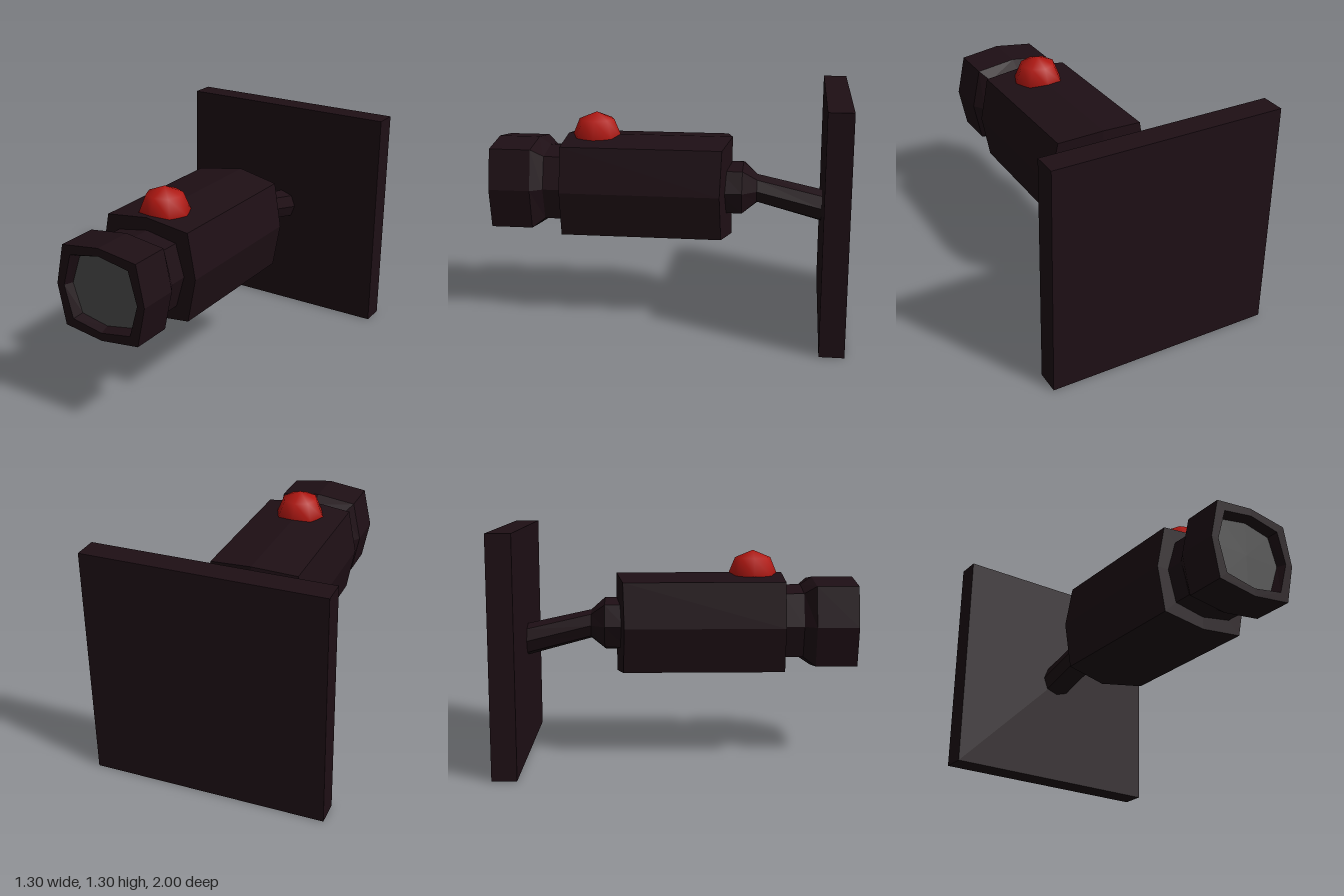
import * as THREE from 'three';

const dark = new THREE.MeshStandardMaterial({ color: 0x1e0f15, flatShading: true });
const glass = new THREE.MeshStandardMaterial({ color: 0x505050, flatShading: true });
const red = new THREE.MeshStandardMaterial({ color: 0xb01711 });

// Eight-sided ring, bulged towards a square: dx, dy place its diagonal corners.
function ring({ z, y = 0.752, rx, ry, dx, dy, slant = 0 }) {
  const corners = [[rx, 0], [dx, dy], [0, ry], [-dx, dy], [-rx, 0], [-dx, -dy], [0, -ry], [dx, -dy]];
  return corners.map(([cx, cy]) => [cx, y + cy, z + slant * Math.abs(cx)]);
}

// Skins a list of rings running from front to back, with optional end caps.
function loft(name, stations, material, capFront = true, capBack = true) {
  const rings = stations.map(ring);
  const points = [];
  const add = (...p) => p.forEach((q) => points.push(...q));
  for (let i = 0; i < rings.length - 1; i++) {
    for (let j = 0; j < 8; j++) {
      const k = (j + 1) % 8;
      const a = rings[i][j], b = rings[i][k], c = rings[i + 1][j], d = rings[i + 1][k];
      add(a, c, b, b, c, d);
    }
  }
  const cap = (r, s, front) => {
    const centre = [0, s.y ?? 0.752, s.z];
    r.forEach((p, j) => {
      const q = r[(j + 1) % 8];
      if (front) add(centre, p, q);
      else add(centre, q, p);
    });
  };
  if (capFront) cap(rings[0], stations[0], true);
  if (capBack) cap(rings.at(-1), stations.at(-1), false);
  const geometry = new THREE.BufferGeometry();
  geometry.setAttribute('position', new THREE.Float32BufferAttribute(points, 3));
  geometry.computeVertexNormals();
  const mesh = new THREE.Mesh(geometry, material);
  mesh.name = name;
  return mesh;
}

export function createModel() {
  const model = new THREE.Group();
  model.name = 'securityCamera';

  // Square wall plate
  const plate = new THREE.Mesh(new THREE.BoxGeometry(1.3, 1.3, 0.135), dark);
  plate.name = 'wallPlate';
  plate.position.set(0, 0.65, -0.9325);
  model.add(plate);

  // Main housing, its back folded along an upright ridge
  const body = { rx: 0.303, ry: 0.284, dx: 0.255, dy: 0.252 };
  model.add(loft('housing', [
    { z: 0.59, ...body },
    { z: -0.355, slant: 0.165, ...body },
  ], dark));

  // Lens barrel: recess, rim, wide sleeve and narrow neck
  const lens = { rx: 0.214, ry: 0.193, dx: 0.16, dy: 0.161 };
  const sleeve = { rx: 0.277, ry: 0.257, dx: 0.23, dy: 0.226 };
  const neck = { rx: 0.232, ry: 0.213, dx: 0.182, dy: 0.18 };
  model.add(loft('lensBarrel', [
    { z: 0.95, ...lens },
    { z: 1, rx: 0.232, ry: 0.213, dx: 0.182, dy: 0.18 },
    { z: 1, ...sleeve },
    { z: 0.765, ...sleeve },
    { z: 0.7, ...neck },
    { z: 0.58, ...neck },
  ], dark, false, false));
  model.add(loft('lens', [{ z: 0.95, ...lens }, { z: 0.94, ...lens }], glass));

  // Swivel joint and the arm sloping down to the plate
  model.add(loft('mountArm', [
    { z: -0.3, y: 0.745, rx: 0.183, ry: 0.15, dx: 0.14, dy: 0.12 },
    { z: -0.42, y: 0.745, rx: 0.176, ry: 0.15, dx: 0.135, dy: 0.12 },
    { z: -0.5, y: 0.742, rx: 0.096, ry: 0.082, dx: 0.07, dy: 0.062 },
    { z: -0.88, y: 0.65, rx: 0.096, ry: 0.092, dx: 0.07, dy: 0.068 },
  ], dark));

  // Red signal light on top
  const light = new THREE.Mesh(
    new THREE.SphereGeometry(0.143, 8, 2, 0, Math.PI * 2, 0, Math.PI / 2), red);
  light.name = 'signalLight';
  light.position.set(0, 1.021, 0.425);
  model.add(light);

  return model;
}
